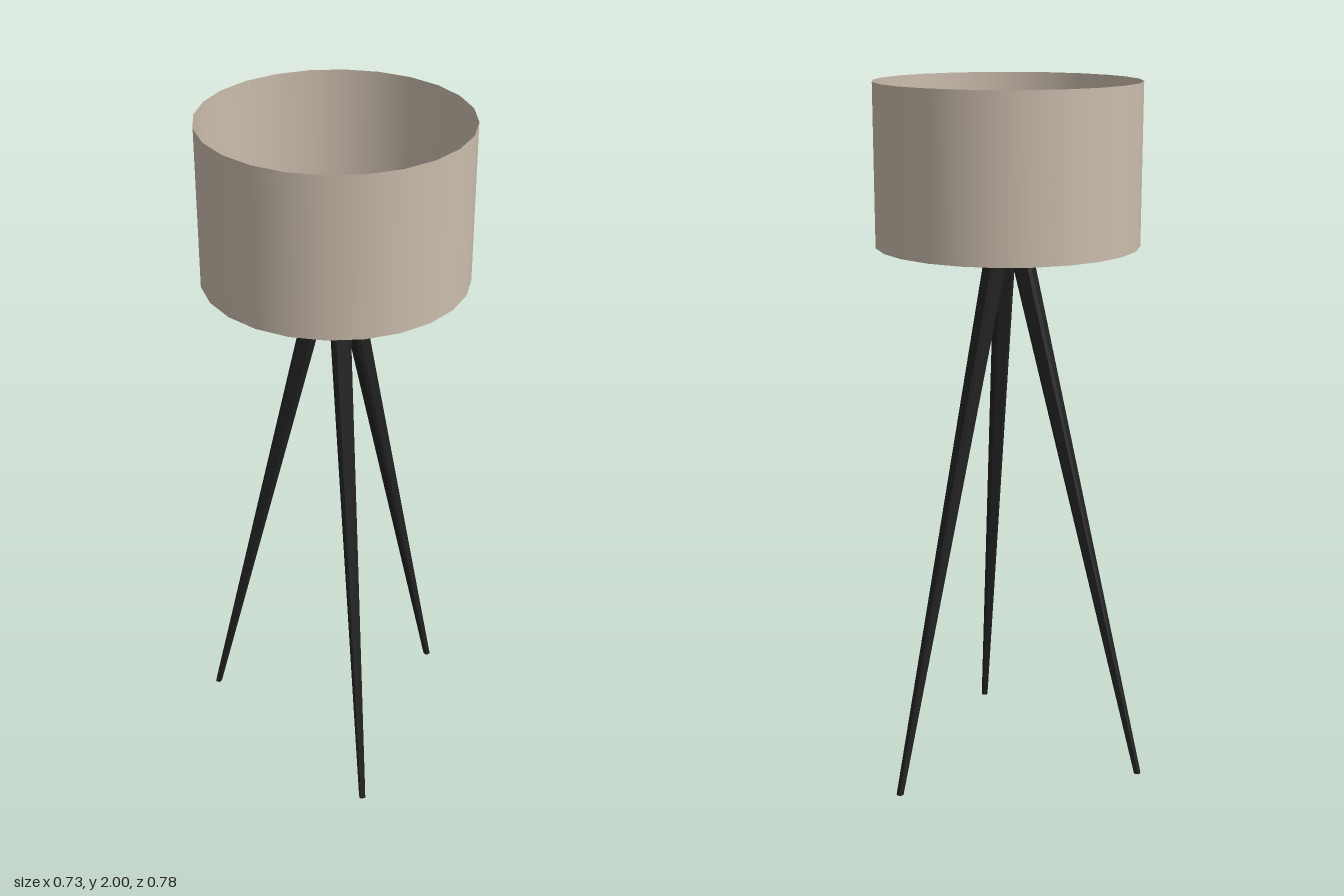
import * as THREE from 'three';

export function createModel() {
  const fabric = new THREE.MeshStandardMaterial({ color: 0xcbbdad });
  fabric.name = 'warm beige';
  fabric.side = THREE.DoubleSide;
  const black = new THREE.MeshStandardMaterial({ color: 0x222222 });
  black.name = 'matt black';

  const lamp = new THREE.Group();
  lamp.name = 'tripodLamp';
  lamp.position.z = -0.026;

  const add = (name, geometry, material, y = 0) => {
    const mesh = new THREE.Mesh(geometry, material);
    mesh.name = name;
    mesh.position.y = y;
    lamp.add(mesh);
    return mesh;
  };
  const faceted = (geometry) => {
    const g = geometry.toNonIndexed();
    g.computeVertexNormals();
    return g;
  };

  // Open drum shade
  add('shade', new THREE.CylinderGeometry(0.367, 0.367, 0.445, 24, 1, true), fabric, 1.7775);

  // Hexagonal plate joining the legs
  const plate = new THREE.CylinderGeometry(0.087, 0.087, 0.023, 6);
  plate.rotateY(Math.PI / 6);
  add('hexPlate', faceted(plate), black, 1.5235);

  // Tapered square legs with chamfered corners, sheared outward to flat feet
  const height = 1.515;
  const leg = new THREE.CylinderGeometry(0.0292, 0.0092, height, 8);
  leg.rotateY(Math.PI / 8);
  leg.translate(0, height / 2, 0);
  const p = leg.attributes.position;
  for (let i = 0; i < p.count; i++) {
    let x = p.getX(i), z = p.getZ(i);
    if (Math.abs(x) < Math.abs(z)) x *= 1.6;
    else z *= 1.6;
    p.setXYZ(i, x, p.getY(i), z + THREE.MathUtils.lerp(0.408, 0.045, p.getY(i) / height));
  }
  const legGeometry = faceted(leg);
  for (let i = 0; i < 3; i++) {
    add('leg' + (i + 1), legGeometry, black).rotation.y = (i * Math.PI * 2) / 3;
  }

  // Stem with the flared bulb holder
  const stem = [
    [0, 1.53], [0.021, 1.53], [0.021, 1.655], [0.017, 1.66],
    [0.017, 1.715], [0.026, 1.725], [0.04, 1.75], [0.04, 1.757], [0, 1.757],
  ].map(([r, y]) => new THREE.Vector2(r, y));
  add('stem', faceted(new THREE.LatheGeometry(stem, 12)), fabric);
  add('bulb', new THREE.SphereGeometry(0.038, 16, 12), fabric, 1.775);

  // Cranked wire arms carrying the lower rim of the shade
  const path = new THREE.CurvePath();
  const points = [[0.015, 1.648], [0.216, 1.642], [0.315, 1.56], [0.365, 1.56]]
    .map(([r, y]) => new THREE.Vector3(r, y, 0));
  for (let i = 0; i < 3; i++) path.add(new THREE.LineCurve3(points[i], points[i + 1]));
  const armGeometry = new THREE.TubeGeometry(path, 36, 0.0045, 6);
  for (let i = 0; i < 3; i++) {
    add('shadeArm' + (i + 1), armGeometry, fabric).rotation.y =
      THREE.MathUtils.degToRad(-20.3 - 120 * i);
  }

  const model = new THREE.Group();
  model.name = 'floorLamp';
  model.add(lamp);
  return model;
}
